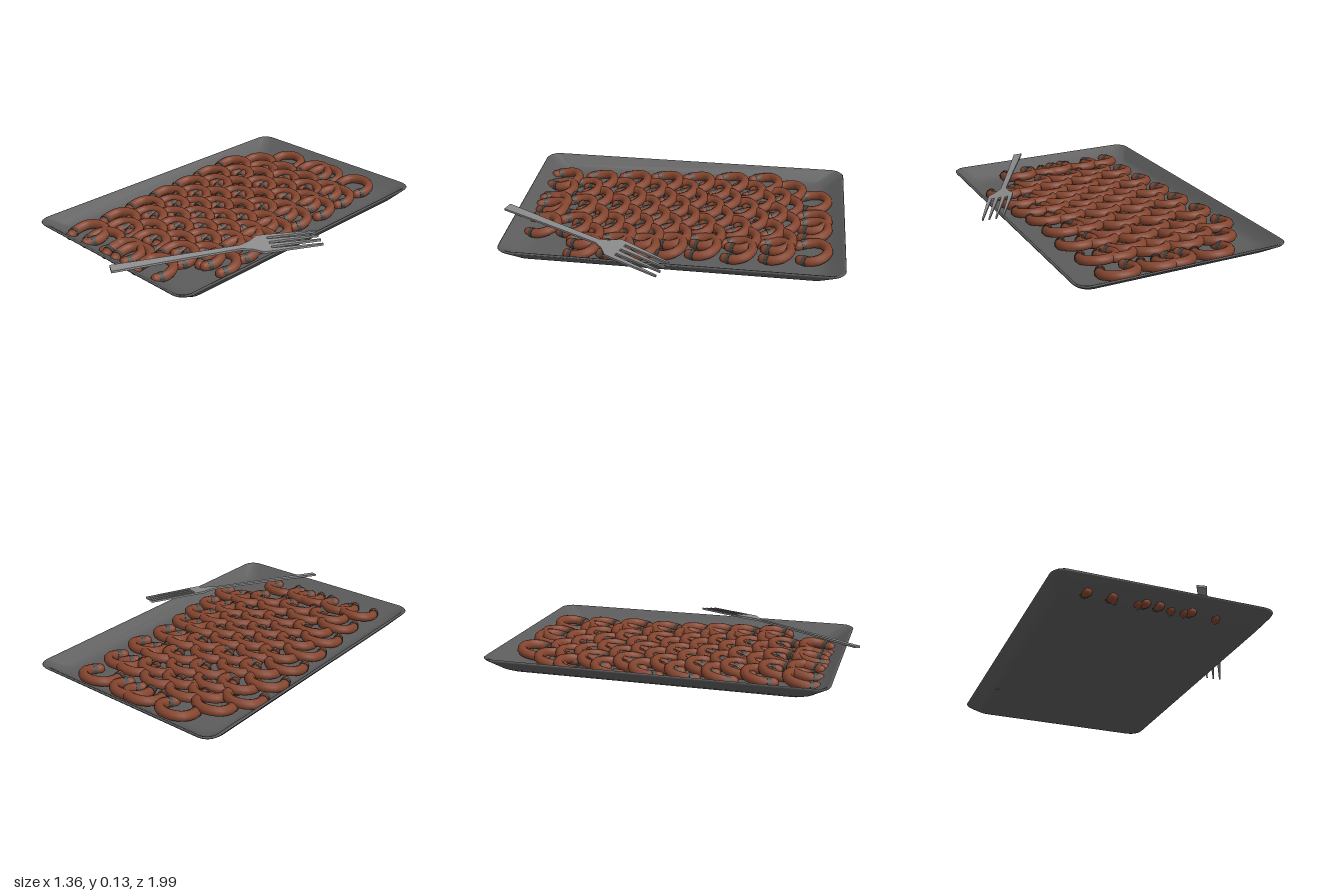
import * as THREE from 'three';
import { mergeGeometries } from 'three/addons/utils/BufferGeometryUtils.js';

const trayMat = new THREE.MeshStandardMaterial({ color: 0x5c5c5c });
const forkMat = new THREE.MeshStandardMaterial({ color: 0x8c8c8c });
const meatMat = new THREE.MeshStandardMaterial({ color: 0x84452f });
const bandMat = new THREE.MeshStandardMaterial({ color: 0x454542 });

// Rounded rectangle cross-section, corner by corner
function ring(hx, hz, r, y) {
  const pts = [], seg = 6;
  for (let c = 0; c < 4; c++) {
    const sx = c === 0 || c === 3 ? 1 : -1, sz = c < 2 ? 1 : -1;
    for (let k = 0; k <= seg; k++) {
      const a = (c + k / seg) * Math.PI / 2;
      pts.push([sx * (hx - r) + r * Math.cos(a), y, sz * (hz - r) + r * Math.sin(a)]);
    }
  }
  return pts;
}

// Tray: underside, flared wall, rim, inner wall and floor in one loft
function makeTray() {
  const rings = [
    ring(0.01, 0.01, 0.005, 0), ring(0.5, 0.79, 0.06, 0), ring(0.535, 0.83, 0.07, 0.003),
    ring(0.565, 0.87, 0.075, 0.02), ring(0.612, 0.95, 0.075, 0.072), ring(0.616, 0.956, 0.075, 0.08),
    ring(0.61, 0.95, 0.07, 0.085), ring(0.6, 0.94, 0.065, 0.081), ring(0.558, 0.868, 0.07, 0.03),
    ring(0.525, 0.82, 0.065, 0.014), ring(0.49, 0.78, 0.06, 0.012), ring(0.01, 0.01, 0.005, 0.012),
  ];
  const n = rings[0].length, index = [];
  for (let j = 0; j < rings.length - 1; j++) {
    for (let i = 0; i < n; i++) {
      const a = j * n + i, c = j * n + (i + 1) % n;
      index.push(a, a + n, c, c, a + n, c + n);
    }
  }
  // close the tiny middle openings
  const last = (rings.length - 1) * n;
  for (let i = 1; i < n - 1; i++) index.push(0, i, i + 1, last, last + i + 1, last + i);
  const geo = new THREE.BufferGeometry();
  geo.setAttribute('position', new THREE.Float32BufferAttribute(rings.flat(2), 3));
  geo.setIndex(index);
  geo.computeVertexNormals();
  const tray = new THREE.Mesh(geo, trayMat);
  tray.position.set(-0.075, 0, -0.045);
  tray.name = 'tray';
  return tray;
}

// One horseshoe sausage with rounded tips, and the bands near its ends
function sausageGeometries() {
  const curve = new THREE.CatmullRomCurve3([
    [-0.07, 0.028, 0.085], [-0.092, 0.036, 0.03], [-0.08, 0.048, -0.04], [-0.03, 0.054, -0.075],
    [0.035, 0.054, -0.075], [0.085, 0.047, -0.035], [0.095, 0.036, 0.02], [0.072, 0.028, 0.07],
  ].map((p) => new THREE.Vector3(...p)));
  const body = [new THREE.TubeGeometry(curve, 26, 0.028, 10)], bands = [];
  for (const [end, inner] of [[0, 0.07], [1, 0.93]]) {
    const tip = new THREE.SphereGeometry(0.028, 10, 8);
    const p = curve.getPointAt(end);
    tip.translate(p.x, p.y, p.z);
    body.push(tip);
    const band = new THREE.CylinderGeometry(0.0305, 0.0305, 0.022, 10);
    band.applyQuaternion(new THREE.Quaternion().setFromUnitVectors(
      new THREE.Vector3(0, 1, 0), curve.getTangentAt(inner)));
    const q = curve.getPointAt(inner);
    band.translate(q.x, q.y, q.z);
    bands.push(band);
  }
  return [mergeGeometries(body), mergeGeometries(bands)];
}

// Rows of sausages: [left x, left z, right x, right z]
function makeSausages() {
  const group = new THREE.Group();
  group.name = 'sausages';
  const [bodyGeo, bandGeo] = sausageGeometries();
  const place = (x, z) => {
    const sausage = new THREE.Group();
    sausage.name = 'sausage';
    const body = new THREE.Mesh(bodyGeo, meatMat);
    const bands = new THREE.Mesh(bandGeo, bandMat);
    body.name = 'sausageBody';
    bands.name = 'sausageBands';
    sausage.add(body, bands);
    sausage.position.set(x, 0, z);
    group.add(sausage);
  };
  for (const x of [-0.325, -0.09, 0, 0.235]) place(x, -0.825);
  const rows = [
    [-0.44, -0.67, 0.25, -0.62], [-0.52, -0.52, 0.27, -0.41], [-0.505, -0.31, 0.26, -0.21],
    [-0.48, -0.1, 0.28, -0.02], [-0.465, 0.1, 0.31, 0.13], [-0.445, 0.3, 0.32, 0.28],
    [-0.42, 0.51, 0.345, 0.46],
  ];
  const columns = 8;
  rows.forEach(([x0, z0, x1, z1]) => {
    for (let i = 0; i < columns; i++) {
      const t = i / (columns - 1);
      const stagger = i % 2 && i < columns - 1 ? 0.08 : 0;
      place(x0 + (x1 - x0) * t, z0 + (z1 - z0) * t + stagger);
    }
  });
  for (const x of [-0.42, -0.285, -0.105, -0.03, 0.15]) place(x, 0.735);
  return group;
}

// Fork: flat outline (across, along) raised and rolled to rest on the rim
function makeFork() {
  const outline = [[0.026, 0], [0.019, 0.35], [0.016, 0.7], [0.035, 0.755], [0.072, 0.81]];
  const tineBase = 0.86, tineTip = 1.15;
  for (let k = 0; k < 4; k++) {
    const base = 0.06 - k * 0.04, tip = base * 0.95;
    outline.push([base + 0.012, tineBase], [tip + 0.004, tineTip], [tip - 0.004, tineTip], [base - 0.012, tineBase]);
  }
  outline.push([-0.072, 0.81], [-0.035, 0.755], [-0.016, 0.7], [-0.019, 0.35], [-0.026, 0]);
  const shape = new THREE.Shape(outline.map(([v, u]) => new THREE.Vector2(v, u)));
  const geo = new THREE.ExtrudeGeometry(shape, { depth: 0.012, bevelEnabled: false });
  const pos = geo.attributes.position;
  for (let i = 0; i < pos.count; i++) {
    const v = pos.getX(i), u = pos.getY(i), d = pos.getZ(i);
    const lift = u < 0.82 ? 0.084 + 0.022 * (u / 0.82) : 0.106 - 0.01 * (u - 0.82) / 0.33;
    pos.setXYZ(i, 0.065 + 0.479 * u + 0.878 * v, lift + d - 0.18 * v, 0.975 - 0.878 * u + 0.479 * v);
  }
  geo.computeVertexNormals();
  const fork = new THREE.Mesh(geo, forkMat);
  fork.name = 'fork';
  return fork;
}

export function createModel() {
  const model = new THREE.Group();
  model.name = 'sausageTray';
  model.add(makeTray(), makeSausages(), makeFork());
  return model;
}
